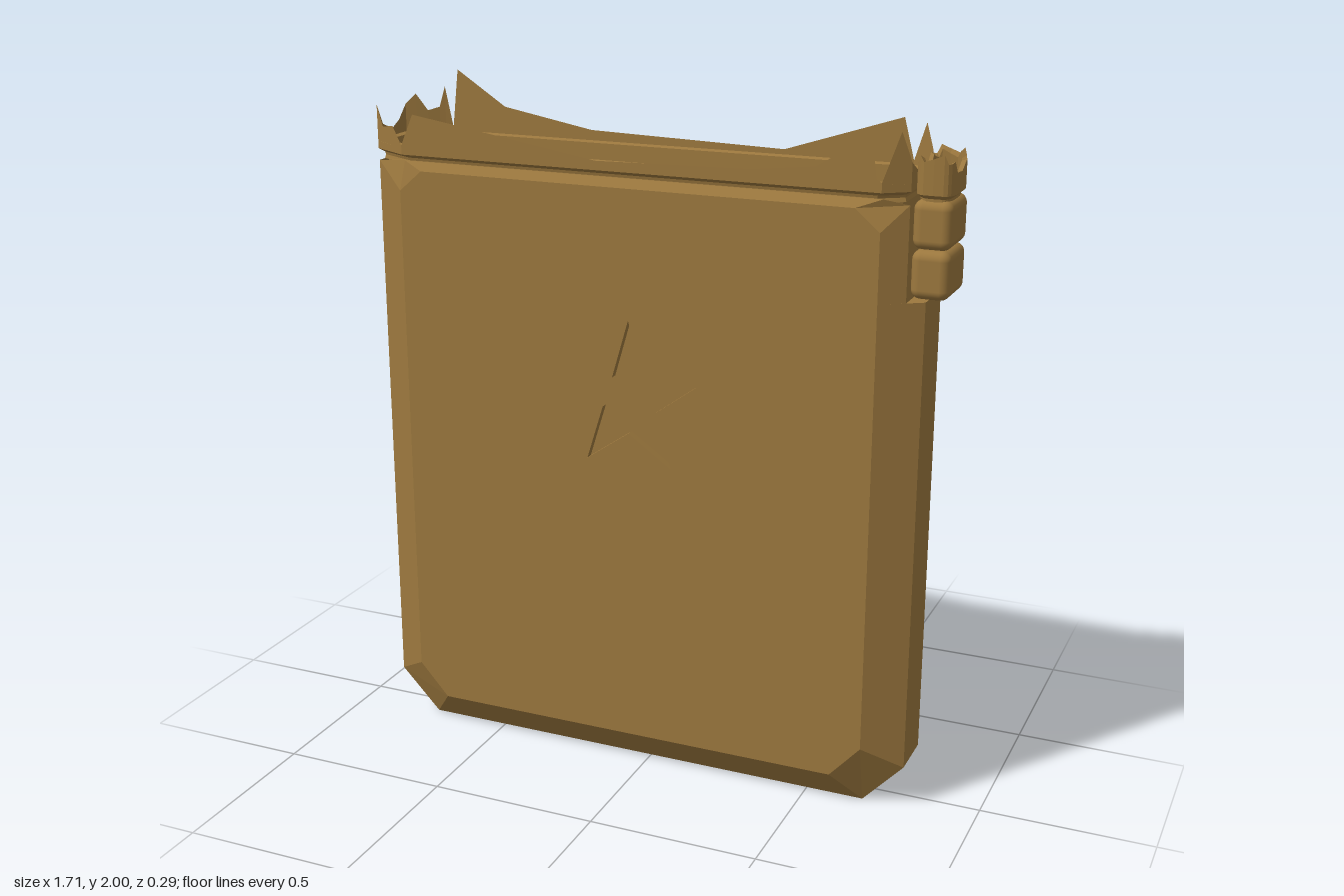
import * as THREE from 'three';
import { RoundedBoxGeometry } from 'three/addons/geometries/RoundedBoxGeometry.js';

// Faceted skin through closed rings of [x, y, z]; keep(ring, i) can leave quads out
function loft(rings, keep = () => true) {
  const pos = [];
  const n = rings[0].length;
  for (let r = 0; r < rings.length - 1; r++) {
    for (let i = 0; i < n; i++) {
      if (!keep(r, i)) continue;
      const j = (i + 1) % n;
      const a = rings[r][i], b = rings[r][j], c = rings[r + 1][j], d = rings[r + 1][i];
      pos.push(...a, ...b, ...c, ...a, ...c, ...d);
    }
  }
  const g = new THREE.BufferGeometry();
  g.setAttribute('position', new THREE.Float32BufferAttribute(pos, 3));
  g.computeVertexNormals();
  return g;
}

export function createModel() {
  const group = new THREE.Group();
  const brass = new THREE.MeshStandardMaterial({ color: 0x9c783e, side: THREE.DoubleSide });
  brass.name = 'brass';
  const add = (geometry, name) => {
    const mesh = new THREE.Mesh(geometry, brass);
    mesh.name = name;
    group.add(mesh);
    return mesh;
  };

  // Case: flat panel outline and the bevelled outline around it
  const D = 0.147;
  const panel = [
    [-0.75, 0.2], [-0.66, 0.1], [0.59, 0.1], [0.68, 0.2], [0.68, 1.5],
    [0.68, 1.5], [0.68, 1.69], [0.61, 1.75], [-0.68, 1.75], [-0.75, 1.69],
  ];
  const outer = [
    [-0.86, 0.13, 0.075], [-0.74, 0, 0.07], [0.67, 0, 0.07], [0.79, 0.13, 0.075],
    [0.79, 1.5, 0.075], [0.745, 1.5, 0.104], [0.745, 1.76, 0.104],
    [0.68, 1.775, 0.13], [-0.74, 1.775, 0.13], [-0.855, 1.76, 0.08],
  ];
  const flat = (z) => panel.map(([x, y]) => [x, y, z]);
  const side = (s) => outer.map(([x, y, z]) => [x, y, z * s]);
  // the top strip is left out so the case is open
  add(loft([flat(-D), side(-1), side(1), flat(D)], (r, i) => r !== 1 || i < 6 || i > 8), 'caseSides');

  // Front and back panels with a sunken star
  const star = [
    [-0.035, 1.38], [-0.085, 1.21], [-0.24, 1.21], [-0.115, 1.12], [-0.165, 0.96],
    [-0.035, 1.05], [0.095, 0.96], [0.047, 1.12], [0.17, 1.21], [0.018, 1.21],
  ];
  const toPoints = (list) => list.map(([x, y]) => new THREE.Vector2(x, y));
  const panelShape = new THREE.Shape(toPoints(panel.filter((p, i) => i !== 4 && i !== 5)));
  panelShape.holes.push(new THREE.Path(toPoints(star)));
  const depth = 0.022;
  const panelGeo = new THREE.ShapeGeometry(panelShape).translate(0, 0, D);
  const floorGeo = new THREE.ShapeGeometry(new THREE.Shape(toPoints(star))).translate(0, 0, D - depth);
  const wallGeo = loft([D, D - depth].map((z) => star.map(([x, y]) => [x, y, z])));
  for (const [s, label] of [[1, 'front'], [-1, 'back']]) {
    add(panelGeo, label + 'Panel').scale.z = s;
    add(floorGeo, label + 'StarFloor').scale.z = s;
    add(wallGeo, label + 'StarWalls').scale.z = s;
  }

  // Rim: groove, band and inner ledge
  const plan = [
    [-0.857, 0.08], [-0.74, D], [0.68, D], [0.745, 0.1],
    [0.745, -0.1], [0.68, -D], [-0.74, -D], [-0.857, -0.08],
  ];
  const rimRing = ([y, inset]) => plan.map(([x, z]) =>
    [-0.056 + (x + 0.056) * (1 - inset / 0.8), y, z * (1 - inset / D)]);
  add(loft([
    [1.765, 0.015], [1.776, 0.018], [1.784, 0.016], [1.794, 0], [1.815, 0],
    [1.822, 0.008], [1.818, 0.024], [1.7, 0.026],
  ].map(rimRing)), 'rim');

  // Torn edge standing on the rim: [x, z, top height] around the outline
  const torn = [
    [-0.74, D, 1.82], [-0.7, D, 1.91], [-0.57, D, 1.89], [-0.13, D, 1.82], [0.32, D, 1.83],
    [0.5, D, 1.85], [0.65, D, 1.94], [0.665, D, 1.83], [0.68, D, 1.82], [0.72, 0.118, 1.95],
    [0.745, 0.1, 1.87], [0.745, 0, 1.82], [0.745, -0.1, 1.87], [0.72, -0.118, 1.94],
    [0.68, -D, 1.83], [0.65, -D, 1.945], [0.31, -D, 1.835], [-0.28, -D, 1.85],
    [-0.56, -D, 1.9], [-0.715, -D, 2], [-0.735, -D, 1.83], [-0.755, -0.138, 1.95],
    [-0.77, -0.13, 1.89], [-0.8, -0.112, 1.88], [-0.83, -0.095, 1.93], [-0.857, -0.08, 1.9],
    [-0.857, -0.04, 1.86], [-0.857, 0, 1.84], [-0.857, 0.05, 1.86], [-0.857, 0.08, 1.92],
    [-0.83, 0.095, 1.86], [-0.78, 0.124, 1.87],
  ];
  add(loft([
    torn.map(([x, z]) => [x, 1.805, z]),
    torn.map(([x, z, y]) => [x, y, z]),
  ]), 'tornEdge');

  // Hinge: two whole knuckles and a torn, hollow one on top
  const hingeX = 0.798;
  for (const y of [1.572, 1.705]) {
    const knuckle = add(new RoundedBoxGeometry(0.106, 0.132, 0.172, 4, 0.026), 'hingeKnuckle');
    knuckle.position.set(hingeX, y, 0);
  }
  const knuckleRing = (height, inset = 0) => Array.from({ length: 24 }, (_, i) => {
    const a = -i / 24 * Math.PI * 2;
    const round = (v) => Math.sign(v) * Math.sqrt(Math.abs(v));
    const x = (0.053 - inset) * round(Math.cos(a)), z = (0.086 - inset) * round(Math.sin(a));
    return [hingeX + x, height(z, i), z];
  });
  const tear = (z, i) => 1.84 + 0.04 * (z / 0.086) ** 2 + [0, 0.012, -0.008][i % 3];
  add(loft([
    knuckleRing(() => 1.772, 0.015), knuckleRing(() => 1.785), knuckleRing(tear),
    knuckleRing(tear, 0.012), knuckleRing(() => 1.76, 0.012),
  ]), 'tornHingeKnuckle');

  return group;
}
